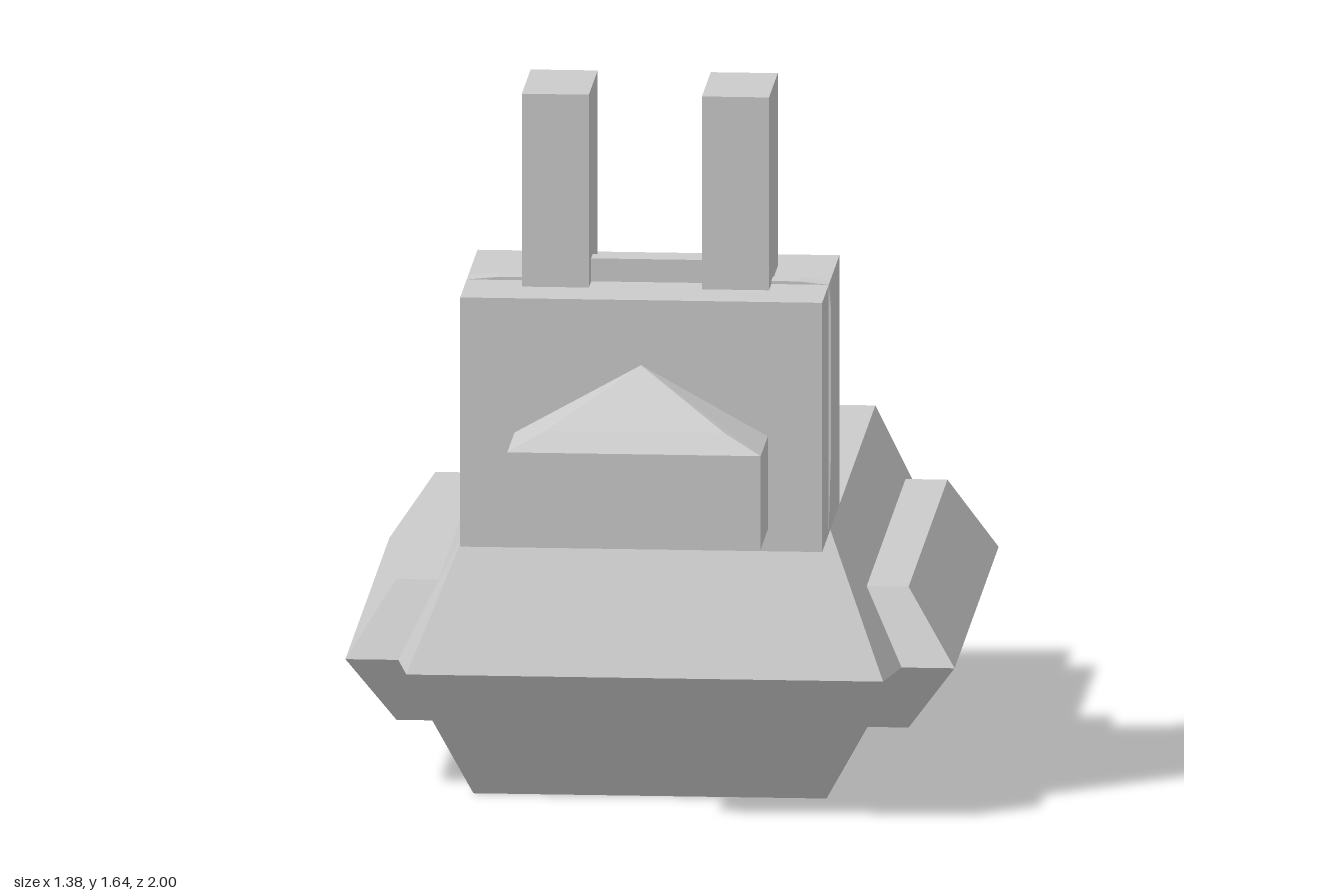
import * as THREE from 'three';
import { ConvexGeometry } from 'three/addons/geometries/ConvexGeometry.js';

export function createModel() {
  const model = new THREE.Group();
  const material = new THREE.MeshStandardMaterial({ color: 0xcccccc, flatShading: true });

  const add = (name, geometry) => {
    const mesh = new THREE.Mesh(geometry, material);
    mesh.name = name;
    model.add(mesh);
    return mesh;
  };
  // Box given by its lower and upper corners
  const box = (name, [x0, y0, z0], [x1, y1, z1]) => {
    const mesh = add(name, new THREE.BoxGeometry(x1 - x0, y1 - y0, z1 - z0));
    mesh.position.set((x0 + x1) / 2, (y0 + y1) / 2, (z0 + z1) / 2);
  };
  // Faceted solid around a few corner points
  const solid = (name, points) =>
    add(name, new ConvexGeometry(points.map((p) => new THREE.Vector3(...p))));

  // Body: widest at the middle ring, tapering to a flat top and bottom
  const body = [];
  for (const s of [-1, 1]) {
    for (const [x, y, z] of [
      [0.41, 0.625, 0.53], [0.41, 0.625, -0.85],
      [0.54, 0.305, 0.67], [0.57, 0.305, 0.51],
      [0.57, 0.305, -0.84], [0.54, 0.305, -1],
      [0.4, 0, 0.51], [0.4, 0, -0.84],
    ]) body.push([s * x, y, z]);
  }
  solid('body', body);

  // Side pods: ridge on the outside, bevelled above and below
  for (const s of [-1, 1]) {
    const pod = [];
    for (const [x, y, front, back] of [
      [0.69, 0.305, 0.51, -0.84], [0.57, 0.305, 0.51, -0.84],
      [0.58, 0.475, 0.43, -0.76], [0.47, 0.475, 0.43, -0.76],
      [0.58, 0.15, 0.43, -0.76], [0.47, 0.15, 0.43, -0.76],
    ]) pod.push([s * x, y, front], [s * x, y, back]);
    solid(s > 0 ? 'leftSidePod' : 'rightSidePod', pod);
  }

  // Head
  box('head', [-0.41, 0.625, 0.25], [0.41, 1.2, 0.78]);

  // Thin band wrapped round the head, with a raised bar between the ears
  const right = [[0.34, 0.615], [0.41, 0.63], [0.415, 0.8], [0.415, 1.15], [0.41, 1.2], [0.34, 1.207]];
  const outline = [...right, ...right.map(([x, y]) => [-x, y]).reverse()];
  const band = new THREE.Shape(outline.map(([x, y]) => new THREE.Vector2(x, y)));
  add('headBand', new THREE.ExtrudeGeometry(band, { depth: 0.05, bevelEnabled: false })).position.z = 0.53;
  box('headBandBar', [-0.14, 1.19, 0.53], [0.14, 1.253, 0.58]);

  // Ears
  box('leftEar', [0.128, 1.19, 0.38], [0.28, 1.645, 0.65]);
  box('rightEar', [-0.28, 1.19, 0.38], [-0.128, 1.645, 0.65]);

  // Snout: block with a pitched top cut back at the front
  const snout = [[0, 1.05, 0.78]];
  for (const s of [-0.287, 0.287]) {
    snout.push([s, 0.675, 0.78], [s, 0.675, 1], [s, 0.89, 0.78], [s, 0.89, 1], [s * 0.71, 0.935, 0.97]);
  }
  solid('snout', snout);

  return model;
}
